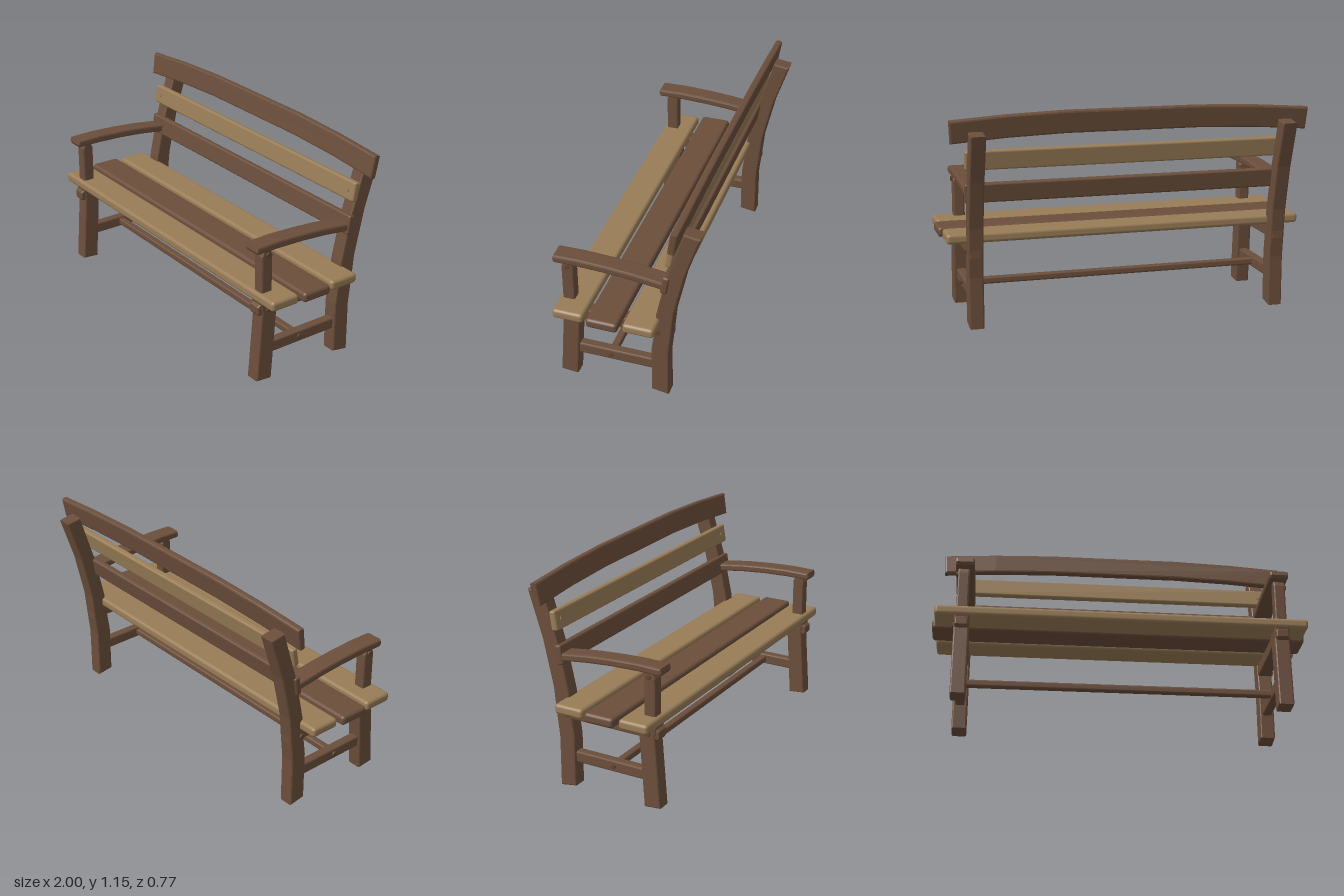
import * as THREE from 'three';
import { RoundedBoxGeometry } from 'three/addons/geometries/RoundedBoxGeometry.js';

export function createModel() {
  const bench = new THREE.Group();
  bench.name = 'bench';

  const material = (name, color) => {
    const m = new THREE.MeshStandardMaterial({ color });
    m.name = name;
    return m;
  };
  const dark = material('dark brown wood', 0x6b4e3b);
  const light = material('light tan wood', 0x987c56);
  const peg = material('peg brown', 0x60452f);

  const add = (name, geometry, mat, parent = bench) => {
    const mesh = new THREE.Mesh(geometry, mat);
    mesh.name = name;
    parent.add(mesh);
    return mesh;
  };

  // Bevelled solid from an outline, centred on its thickness
  const solid = (points, thickness, bevel) => {
    const shape = new THREE.Shape(points.map(([a, b]) => new THREE.Vector2(a, b)));
    const g = new THREE.ExtrudeGeometry(shape, {
      depth: thickness - 2 * bevel, bevelThickness: bevel, bevelSize: bevel,
      bevelOffset: -bevel, bevelSegments: 2,
    });
    return g.translate(0, 0, bevel - thickness / 2);
  };
  // Outline given as [z, y], thickness along x
  const sideSolid = (points, thickness, bevel = 0.008) =>
    solid(points, thickness, bevel).rotateY(-Math.PI / 2);

  const plank = (name, mat, size, pos, radius = 0.014, lean = 0) => {
    const mesh = add(name, new RoundedBoxGeometry(...size, 3, radius), mat);
    mesh.position.set(...pos);
    mesh.rotation.x = lean;
    return mesh;
  };

  // Seat planks
  plank('frontSeatPlank', light, [1.965, 0.054, 0.166], [0, 0.482, 0.281], 0.018);
  plank('middleSeatPlank', dark, [2, 0.054, 0.168], [0, 0.482, 0.093], 0.018);
  plank('rearSeatPlank', light, [1.965, 0.054, 0.166], [0, 0.482, -0.095], 0.018);

  // Leaning back slats
  const lean = -0.165;
  plank('lowerBackSlat', dark, [1.78, 0.105, 0.036], [0, 0.731, -0.206], 0.011, lean);
  const upper = plank('upperBackSlat', light, [1.78, 0.105, 0.036], [0, 0.907, -0.232], 0.011, lean);

  // Arched top rail
  const topEdge = [[0.975, 0.052], [0.68, 0.073], [0.36, 0.085], [-0.36, 0.085], [-0.68, 0.073], [-0.975, 0.052]];
  const lowEdge = [[-0.968, -0.07], [-0.68, -0.048], [-0.36, -0.036], [0.36, -0.036], [0.68, -0.048], [0.968, -0.07]];
  const rail = add('topRail', solid([...topEdge, ...lowEdge], 0.038, 0.01), dark);
  rail.position.set(0, 1.071, -0.276);
  rail.rotation.x = lean;

  // Long stretcher between the two end frames
  plank('longStretcher', dark, [1.66, 0.038, 0.04], [0, 0.18, 0.095], 0.01);

  // End frames, mirrored
  for (const side of [1, -1]) {
    const frame = new THREE.Group();
    frame.name = side > 0 ? 'leftFrame' : 'rightFrame';
    frame.position.x = side * 0.84;
    bench.add(frame);

    add('rearLeg', sideSolid([
      [-0.13, 0.017], [-0.222, 0.002], [-0.222, 0.28], [-0.235, 0.4], [-0.25, 0.55],
      [-0.306, 0.8], [-0.387, 1.05], [-0.3, 1.063], [-0.21, 0.77], [-0.158, 0.53],
      [-0.145, 0.4], [-0.13, 0.29],
    ], 0.08), dark, frame);

    add('frontLeg', sideSolid([
      [0.374, 0.016], [0.282, 0.008], [0.255, 0.4], [0.248, 0.458], [0.356, 0.458], [0.346, 0.4],
    ], 0.08), dark, frame);

    add('seatRail', sideSolid([
      [0.362, 0.388], [-0.238, 0.388], [-0.238, 0.455], [0.345, 0.455], [0.37, 0.437], [0.37, 0.4],
    ], 0.07), dark, frame);

    add('sideStretcher', sideSolid([
      [0.3, 0.148], [-0.16, 0.148], [-0.16, 0.21], [0.3, 0.21],
    ], 0.05), dark, frame);

    add('armPost', sideSolid([
      [0.345, 0.42], [0.28, 0.42], [0.28, 0.708], [0.295, 0.742], [0.33, 0.742], [0.345, 0.708],
    ], 0.062), dark, frame);

    add('armrest', sideSolid([
      [0.38, 0.734], [0.388, 0.75], [0.382, 0.774], [0.25, 0.777], [0.1, 0.771], [-0.04, 0.76], [-0.2, 0.74],
      [-0.2, 0.699], [-0.04, 0.719], [0.1, 0.73], [0.25, 0.735],
    ], 0.1, 0.01), dark, frame).position.x = -side * 0.006;

    // Six-sided pegs on the outer faces: [z, y, outer face]
    for (const [z, y, face] of [[0.31, 0.415, 0.04], [-0.165, 0.415, 0.04], [0.095, 0.18, 0.025], [0.31, 0.714, 0.031]]) {
      const p = add('peg', new THREE.CylinderGeometry(0.013, 0.014, 0.02, 6).rotateZ(Math.PI / 2), peg, frame);
      p.position.set(side * face, y, z);
    }

    // Pegs on the upper back slat
    const slatPeg = add('slatPeg', new THREE.CylinderGeometry(0.012, 0.012, 0.01, 8).rotateX(Math.PI / 2), light, upper);
    slatPeg.position.set(side * 0.84, 0, 0.017);
  }

  return bench;
}
